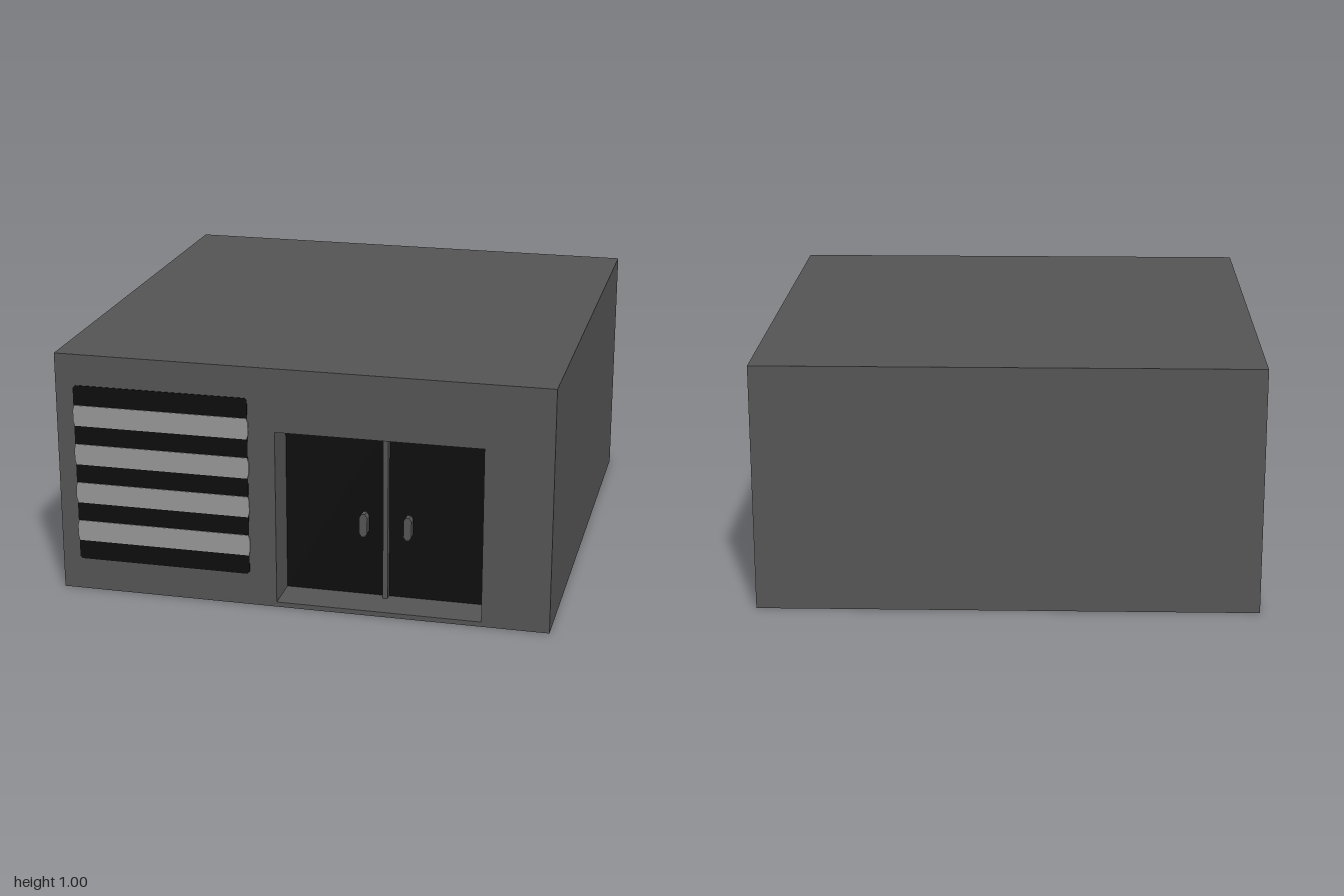
import * as THREE from 'three';

const wallMat = new THREE.MeshStandardMaterial({ color: 0x545454 });
wallMat.name = 'wall grey';
const blackMat = new THREE.MeshStandardMaterial({ color: 0x0d0d0d });
blackMat.name = 'glass black';
const slatMat = new THREE.MeshStandardMaterial({ color: 0x979797 });
slatMat.name = 'slat grey';

// Rectangle outline with cut corners
function cutRect(x0, x1, y0, y1, cx, cy = cx, Type = THREE.Shape) {
  const s = new Type();
  s.moveTo(x0 + cx, y0);
  s.lineTo(x1 - cx, y0);
  s.lineTo(x1, y0 + cy);
  s.lineTo(x1, y1 - cy);
  s.lineTo(x1 - cx, y1);
  s.lineTo(x0 + cx, y1);
  s.lineTo(x0, y1 - cy);
  s.lineTo(x0, y0 + cy);
  s.closePath();
  return s;
}

function rect(x0, x1, y0, y1, Type) {
  const s = new Type();
  s.moveTo(x0, y0);
  s.lineTo(x1, y0);
  s.lineTo(x1, y1);
  s.lineTo(x0, y1);
  s.closePath();
  return s;
}

export function createModel() {
  const model = new THREE.Group();

  const add = (name, geometry, material, x = 0, y = 0, z = 0) => {
    const mesh = new THREE.Mesh(geometry, material);
    mesh.name = name;
    mesh.position.set(x, y, z);
    model.add(mesh);
  };
  const plate = (name, shape, depth, z, material) =>
    add(name, new THREE.ExtrudeGeometry(shape, { depth, bevelEnabled: false }), material, 0, 0, z);

  // Main block, and the front wall with the doorway cut through it
  const recessZ = 0.83;
  add('mainBlock', new THREE.BoxGeometry(2, 1, 1 + recessZ), wallMat, 0, 0.5, (recessZ - 1) / 2);
  const front = rect(-1, 1, 0, 1, THREE.Shape);
  front.holes.push(rect(-0.1, 0.73, 0.02, 0.74, THREE.Path));
  plate('frontWall', front, 1 - recessZ, recessZ, wallMat);

  // Double door with centre post and handles
  const doorX = 0.314;
  add('doorPost', new THREE.BoxGeometry(0.02, 0.72, 0.036), wallMat, doorX, 0.38, recessZ + 0.018);
  for (const side of [-1, 1]) {
    const name = side < 0 ? 'right' : 'left';
    add(name + 'Door', new THREE.BoxGeometry(0.406, 0.72, 0.006), blackMat,
      doorX + side * 0.213, 0.38, recessZ + 0.003);
    const hx = doorX + side * 0.09;
    plate(name + 'Handle', cutRect(hx - 0.016, hx + 0.016, 0.28, 0.376, 0.009, 0.014),
      0.04, recessZ, wallMat);
  }

  // Shuttered window: dark panel with four pale slats
  plate('windowPanel', cutRect(-0.927, -0.21, 0.132, 0.872, 0.01), 0.003, 1, blackMat);
  for (let i = 0; i < 4; i++) {
    const y = 0.256 + i * 0.1635;
    plate('windowSlat', cutRect(-0.93, -0.206, y - 0.043, y + 0.043, 0.006, 0.02), 0.006, 1, slatMat);
  }

  return model;
}
